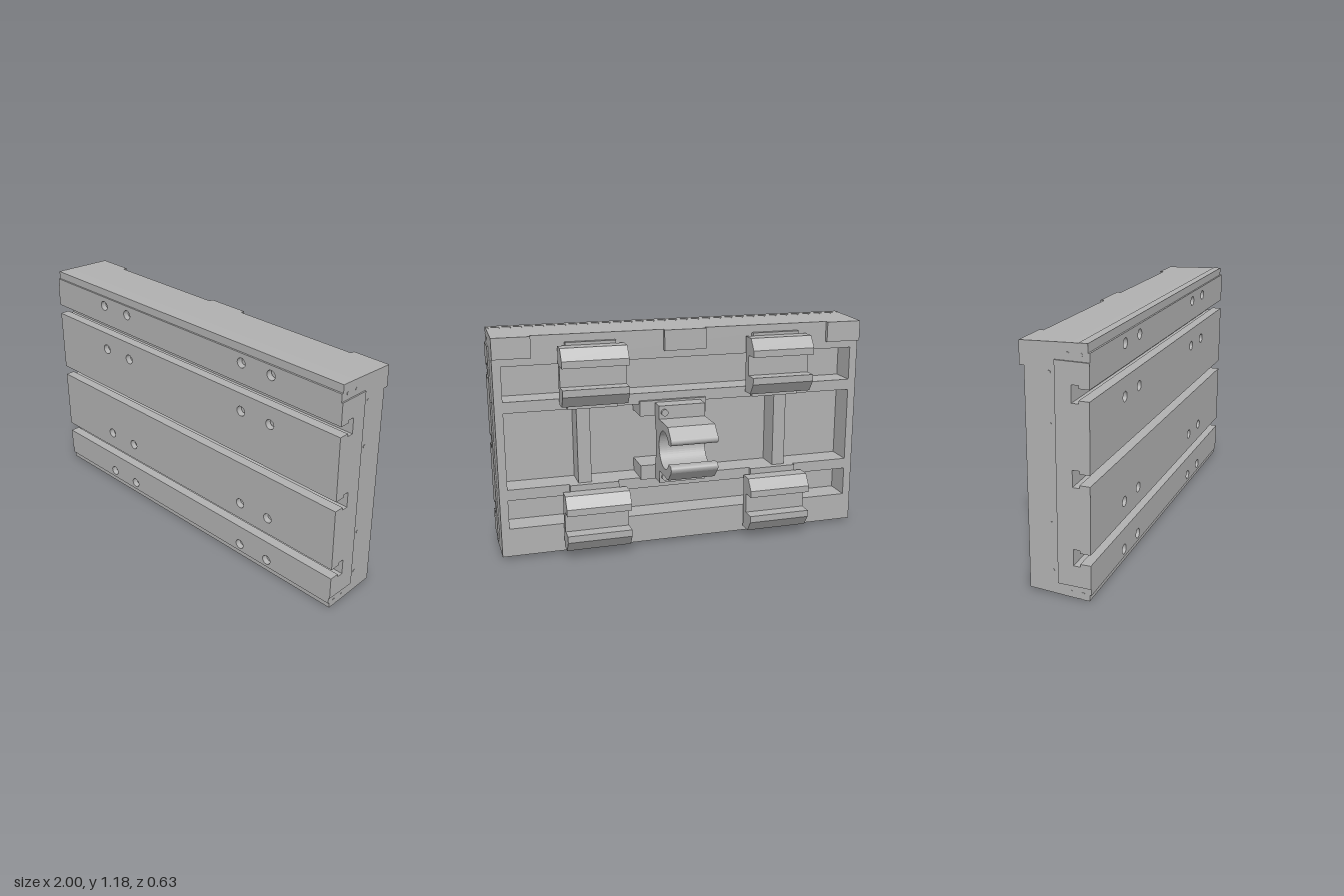
import * as THREE from 'three';

export function createModel() {
  const root = new THREE.Group();
  const metal = new THREE.MeshStandardMaterial({ color: 0xb0b0b0 });
  metal.name = 'grey metal';

  const add = (name, geo) => {
    const m = new THREE.Mesh(geo, metal);
    m.name = name;
    root.add(m);
    return m;
  };
  // Box from its limits
  const box = (name, x0, x1, y0, y1, z0, z1) => {
    const g = new THREE.BoxGeometry(x1 - x0, y1 - y0, z1 - z0);
    g.translate((x0 + x1) / 2, (y0 + y1) / 2, (z0 + z1) / 2);
    return add(name, g);
  };
  // Extrude a (z, y) outline along x
  const alongX = (name, shape, x0, x1) => {
    const g = new THREE.ExtrudeGeometry(shape, { depth: x1 - x0, bevelEnabled: false, curveSegments: 24 });
    g.rotateY(-Math.PI / 2);
    g.translate(x1, 0, 0);
    return add(name, g);
  };
  const poly = (pts) => new THREE.Shape(pts.map(([z, y]) => new THREE.Vector2(z, y)));
  // Short cylinder along the x or z axis
  const stud = (name, r, len, x, y, z, axis) => {
    const g = new THREE.CylinderGeometry(r, r, len, 20);
    if (axis === 'x') g.rotateZ(Math.PI / 2); else g.rotateX(Math.PI / 2);
    g.translate(x, y, z);
    return add(name, g);
  };

  const W = 0.993;
  const FLOOR = 0.155, BACK = 0.012;
  const slots = [0.205, 0.58, 0.96];
  const boltX = [-0.595, -0.41, 0.41, 0.595];
  const boltY = [0.07, 0.32, 0.84, 1.09];

  // Base plate behind the slots
  box('basePlate', -W, W, 0.006, 1.174, FLOOR, 0.232);

  // Front strips between the T-slots, with bolt holes
  const lows = [0, ...slots], highs = [...slots, 1.18];
  lows.forEach((lo, i) => {
    const hi = highs[i], first = i === 0, last = i === 3;
    box('slotWall', -W, W, first ? 0.002 : lo + 0.04, last ? 1.178 : hi - 0.04, 0.232, 0.265);
    const y0 = first ? 0.03 : lo + 0.026, y1 = last ? 1.14 : hi - 0.026;
    const s = new THREE.Shape();
    s.moveTo(-W, y0); s.lineTo(W, y0); s.lineTo(W, y1); s.lineTo(-W, y1); s.closePath();
    for (const x of boltX) for (const y of boltY) if (y > y0 && y < y1) {
      const h = new THREE.Path();
      h.absarc(x, y, 0.025, 0, Math.PI * 2, true);
      s.holes.push(h);
    }
    const g = new THREE.ExtrudeGeometry(s, { depth: 0.05, bevelEnabled: false, curveSegments: 16 });
    g.translate(0, 0, 0.265);
    add('frontStrip', g);
  });
  box('lowerFrontLip', -W, W, 0, 0.03, 0.265, 0.306);
  box('upperFrontLip', -W, W, 1.14, 1.18, 0.265, 0.306);
  for (const x of boltX) for (const y of boltY) stud('frontBolt', 0.02, 0.03, x, y, 0.275, 'z');

  // End plates follow the slot outline
  const outline = [[FLOOR, 0.063], [0.315, 0.063]];
  for (const c of slots) outline.push(
    [0.315, c - 0.026], [0.265, c - 0.026], [0.265, c - 0.04], [0.232, c - 0.04],
    [0.232, c + 0.04], [0.265, c + 0.04], [0.265, c + 0.026], [0.315, c + 0.026]);
  outline.push([0.315, 1.1], [FLOOR, 1.1]);
  alongX('endPlate', poly(outline), W, 1);
  alongX('endPlate', poly(outline), -1, -W);

  // Rear frame: drafted top and bottom walls, end walls
  alongX('topWall', poly([[0.235, 1.02], [0.235, 1.178], [BACK, 1.169], [BACK, 1.02]]), -W, W);
  alongX('bottomWall', poly([[0.235, 0.002], [0.235, 0.165], [BACK, 0.165], [BACK, 0.013]]), -W, W);
  for (const [x0, x1] of [[-W, -0.8], [-0.11, 0.115], [0.8, W]])
    alongX('topPad', poly([[BACK, 1.06], [BACK, 1.169], [-0.01, 1.168], [-0.01, 1.06]]), x0, x1);
  for (const s of [-1, 1]) {
    const e = [s * 0.95, s * W].sort((a, b) => a - b);
    box('endWall', e[0], e[1], 0.1, 1.1, BACK, FLOOR);
    const r = [s * 0.51, s * 0.58].sort((a, b) => a - b);
    box('verticalRib', r[0], r[1], 0.36, 0.8, BACK + 0.01, FLOOR);
  }
  // Horizontal ribs
  box('lowerRib', -0.96, 0.96, 0.32, 0.378, BACK, FLOOR);
  box('upperRib', -0.96, 0.96, 0.782, 0.84, BACK, FLOOR);

  // Central mounting bosses
  box('upperBoss', -0.11, 0.25, 0.72, 0.8, -0.006, FLOOR);
  box('lowerBoss', -0.11, 0.25, 0.372, 0.45, -0.006, FLOOR);

  // Four rail clips on small pads
  for (const c of [0.197, 0.966]) for (const x of [-0.5, 0.5]) {
    alongX('railClip', poly([
      [-0.012, 0.149], [-0.085, 0.149], [-0.128, 0.09], [-0.128, 0.054], [-0.055, 0.054],
      [-0.055, -0.054], [-0.128, -0.054], [-0.128, -0.09], [-0.085, -0.149], [-0.012, -0.149],
    ].map(([z, y]) => [z, y + c])), x - 0.17, x + 0.17);
    const [a, b] = c < 0.5 ? [[0.035, 0.14], [0.315, 0.378]] : [[0.785, 0.84], [1.025, 1.13]];
    for (const [y0, y1] of [a, b]) box('clipPad', x - 0.13, x + 0.13, y0, y1, -0.012, BACK);
  }

  // Central round clamp
  const cz = -0.183, cy = 0.581, r = 0.098, a = Math.atan2(0.053, -0.083);
  const s = new THREE.Shape();
  s.moveTo(-0.005, 0.79);
  s.lineTo(-0.09, 0.79); s.lineTo(-0.09, 0.72); s.lineTo(-0.255, 0.72); s.lineTo(-0.308, 0.668);
  s.quadraticCurveTo(-0.322, 0.645, -0.298, 0.634);
  s.lineTo(cz + r * Math.cos(a), cy + r * Math.sin(a));
  s.absarc(cz, cy, r, a, -a, true);
  s.lineTo(-0.298, 0.528);
  s.quadraticCurveTo(-0.322, 0.517, -0.308, 0.494);
  s.lineTo(-0.255, 0.441); s.lineTo(-0.09, 0.441); s.lineTo(-0.09, 0.375); s.lineTo(-0.005, 0.375);
  s.lineTo(-0.005, 0.492); s.lineTo(-0.02, 0.492); s.lineTo(-0.02, 0.672); s.lineTo(-0.005, 0.672);
  s.closePath();
  alongX('roundClamp', s, -0.078, 0.17);
  for (const y of [0.408, 0.755]) stud('clampScrew', 0.018, 0.025, 0.142, y, -0.092, 'z');

  // Small screws on both ends
  const dots = [];
  for (const y of [0.03, 1.13]) dots.push([y, 0.275], [y, 0.215]);
  for (const y of [0.12, 0.35, 0.812, 1.042]) dots.push([y, 0.128]);
  for (const side of [-1, 1]) for (const [y, z] of dots)
    stud('endScrew', 0.008, 0.004, side * W, y, z, 'x');

  return root;
}
